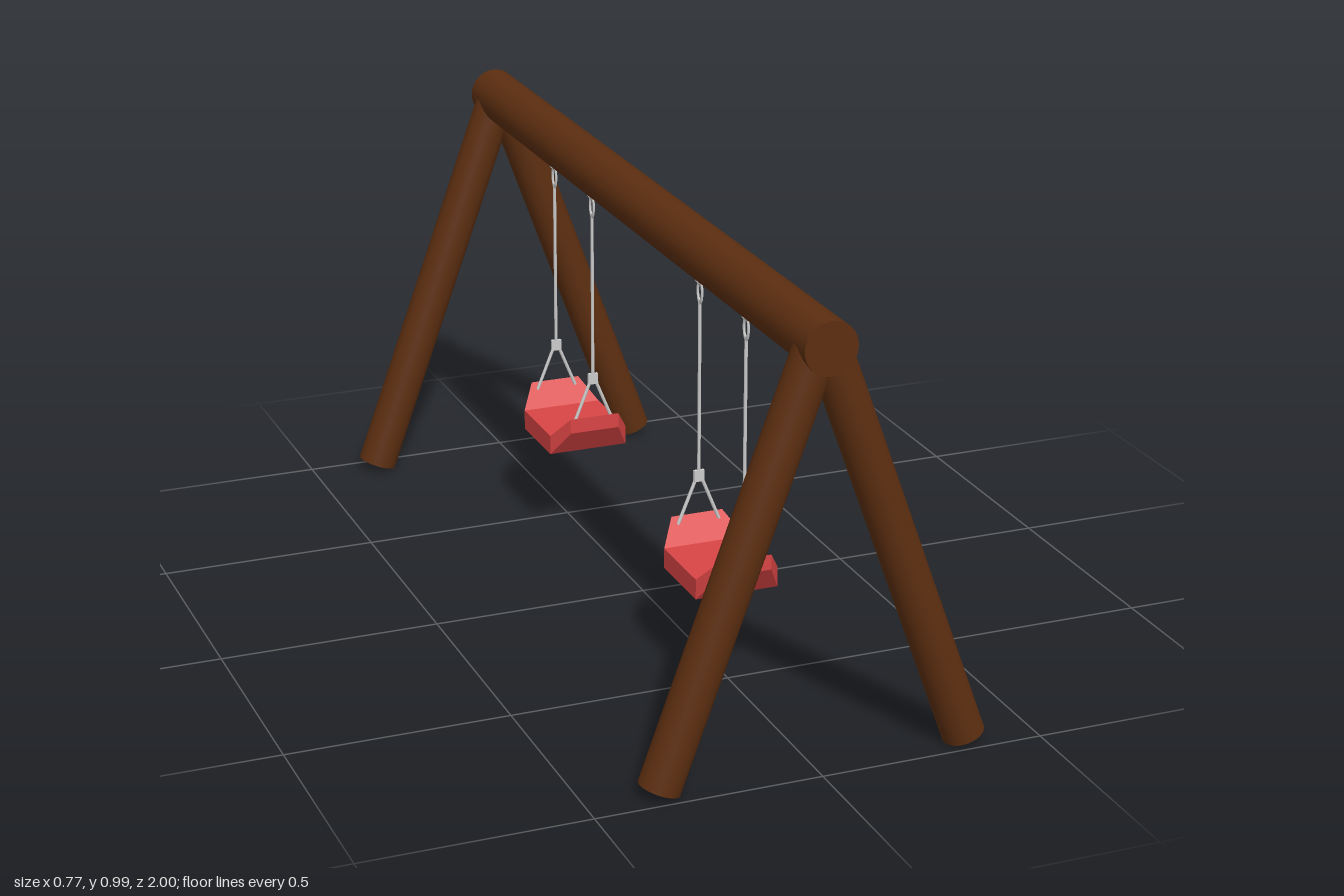
import * as THREE from 'three';

const wood = new THREE.MeshStandardMaterial({ color: 0x5c2e10 });
const red = new THREE.MeshStandardMaterial({ color: 0xd94444, flatShading: true });
const metal = new THREE.MeshStandardMaterial({ color: 0xcccccc });

function add(parent, name, geometry, material, x = 0, y = 0, z = 0) {
  const mesh = new THREE.Mesh(geometry, material);
  mesh.name = name;
  mesh.position.set(x, y, z);
  parent.add(mesh);
  return mesh;
}

// Round bar between two points
function bar(parent, name, a, b, radius, material, sides) {
  const from = new THREE.Vector3(...a), to = new THREE.Vector3(...b);
  const dir = to.clone().sub(from);
  const mesh = add(parent, name, new THREE.CylinderGeometry(radius, radius, dir.length(), sides), material);
  mesh.position.copy(from).add(to).multiplyScalar(0.5);
  mesh.quaternion.setFromUnitVectors(new THREE.Vector3(0, 1, 0), dir.normalize());
  return mesh;
}

// Seat lofted through rectangular sections: z, half width, bottom, top
function seatGeometry() {
  const sections = [
    [-0.135, 0.06, 0.285, 0.32],
    [-0.09, 0.095, 0.222, 0.268],
    [0.09, 0.095, 0.222, 0.268],
    [0.135, 0.06, 0.285, 0.32],
  ];
  const points = [], index = [];
  for (const [z, w, lo, hi] of sections) points.push(-w, lo, z, w, lo, z, w, hi, z, -w, hi, z);
  for (let s = 0; s < sections.length - 1; s++) {
    for (let i = 0; i < 4; i++) {
      const a = s * 4 + i, b = s * 4 + (i + 1) % 4;
      index.push(a, b, b + 4, a, b + 4, a + 4);
    }
  }
  const e = (sections.length - 1) * 4;
  index.push(0, 2, 1, 0, 3, 2, e, e + 1, e + 2, e, e + 2, e + 3);
  const indexed = new THREE.BufferGeometry();
  indexed.setAttribute('position', new THREE.Float32BufferAttribute(points, 3));
  indexed.setIndex(index);
  const geometry = indexed.toNonIndexed();
  geometry.computeVertexNormals();
  return geometry;
}

function createSwing() {
  const swing = new THREE.Group();
  add(swing, 'seat', seatGeometry(), red);
  for (const z of [-0.125, 0.125]) {
    const hanger = new THREE.Group();
    hanger.name = 'hanger';
    hanger.position.z = z;
    swing.add(hanger);

    // Eye under the beam and the oval link hanging from it
    add(hanger, 'eye', new THREE.TorusGeometry(0.009, 0.003, 8, 16), metal, 0, 0.866, 0);
    const link = add(hanger, 'link', new THREE.TorusGeometry(0.012, 0.003, 8, 24), metal, 0, 0.836, 0);
    link.rotation.y = Math.PI / 2;
    link.scale.y = 2;

    bar(hanger, 'rope', [0, 0.41, 0], [0, 0.812, 0], 0.004, metal, 8);
    add(hanger, 'clamp', new THREE.BoxGeometry(0.024, 0.026, 0.008), metal, 0, 0.412, 0);

    // Forked lower ropes to both edges of the seat
    for (const side of [-1, 1]) {
      bar(hanger, 'forkRope', [side * 0.007, 0.405, 0], [side * 0.05, 0.3, 0], 0.004, metal, 8);
    }
  }
  return swing;
}

export function createModel() {
  const model = new THREE.Group();
  model.name = 'swingSet';

  bar(model, 'crossBeam', [0, 0.931, -1], [0, 0.931, 1], 0.058, wood, 32);

  // Slanted legs in an A at each end
  for (const z of [-0.953, 0.953]) {
    for (const side of [-1, 1]) {
      bar(model, 'leg', [side * 0.3425, 0.0165, z], [side * 0.008, 0.935, z], 0.046, wood, 32);
    }
  }

  for (const z of [-0.445, 0.455]) {
    const swing = createSwing();
    swing.name = 'swing';
    swing.position.z = z;
    model.add(swing);
  }
  return model;
}
